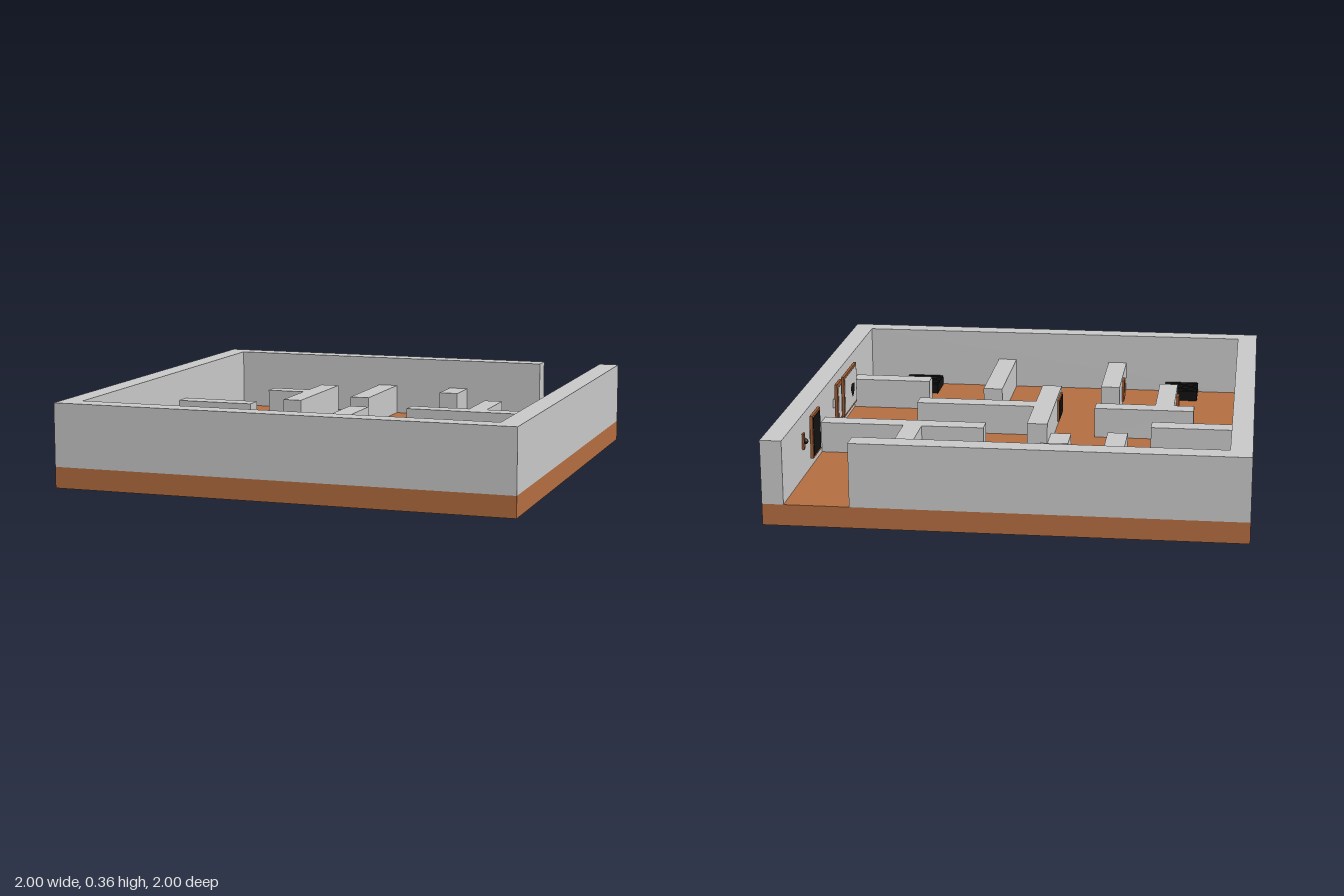
import * as THREE from 'three';

const FLOOR = 0.091, OUTER_TOP = 0.364, INNER_TOP = 0.227;

function material(name, color) {
  const m = new THREE.MeshStandardMaterial({ color });
  m.name = name;
  return m;
}

export function createModel() {
  const model = new THREE.Group();
  model.name = 'mazeHouse';
  const clay = material('clay brown', 0xb46e40);
  const plaster = material('plaster grey', 0xc9c9c9);
  const frameWood = material('frame brown', 0x9a5a32);
  const black = material('black', 0x111111);

  // Box given by its limits on each axis
  function box(name, mat, x0, x1, y0, y1, z0, z1, parent = model) {
    const mesh = new THREE.Mesh(new THREE.BoxGeometry(x1 - x0, y1 - y0, z1 - z0), mat);
    mesh.position.set((x0 + x1) / 2, (y0 + y1) / 2, (z0 + z1) / 2);
    mesh.name = name;
    parent.add(mesh);
    return mesh;
  }

  box('floorSlab', clay, -1, 1, 0, FLOOR, -1, 1);

  // Outer wall as one outline, open at the back doorway
  const w = 0.909, door = 0.635;
  const outline = new THREE.Shape([
    [door, -1], [-1, -1], [-1, 1], [1, 1], [1, -1], [w, -1],
    [w, w], [-w, w], [-w, -w], [door, -w],
  ].map(([x, z]) => new THREE.Vector2(x, -z)));
  const outerGeo = new THREE.ExtrudeGeometry(outline, { depth: OUTER_TOP - FLOOR, bevelEnabled: false });
  outerGeo.rotateX(-Math.PI / 2).translate(0, FLOOR, 0);
  const outer = new THREE.Mesh(outerGeo, plaster);
  outer.name = 'outerWall';
  model.add(outer);

  // Low inner partitions: x0, x1, z0, z1
  const partitions = [
    [-0.182, -0.091, -0.909, -0.46], [0.182, 0.27, -0.909, -0.733],
    [-0.455, -0.367, -0.818, -0.278], [-0.635, -0.455, -0.635, -0.552],
    [-0.909, -0.55, -0.182, -0.095], [-0.091, 0, -0.182, 0.45],
    [0, 0.54, 0.091, 0.177], [-0.727, -0.278, 0.091, 0.177],
    [-0.635, -0.55, 0.177, 0.54], [-0.365, -0.277, 0.455, 0.909],
    [0.182, 0.27, 0.364, 0.909], [0.545, 0.909, 0.455, 0.54],
    [0.182, 0.909, -0.273, -0.188], [0.457, 0.54, -0.547, -0.273],
  ];
  for (const [x0, x1, z0, z1] of partitions) {
    box('partition', plaster, x0, x1, FLOOR, INNER_TOP, z0, z1);
  }
  box('bench', plaster, -0.182, -0.091, FLOOR, 0.136, -0.17, -0.018);

  // Framed panels, all facing -x: front x, z range, y range, panel material
  function picture(x, z0, z1, y0, y1, panelMat, border) {
    const g = new THREE.Group();
    g.name = 'framedPicture';
    box('frame', frameWood, x, x + 0.013, y0, y1, z0, z1, g);
    box('panel', panelMat, x - 0.002, x + 0.002, y0 + border, y1 - border, z0 + border, z1 - border, g);
    model.add(g);
  }
  picture(0.88, -0.56, -0.41, 0.15, 0.34, black, 0.01);
  picture(0.88, -0.055, 0.045, 0.155, 0.34, plaster, 0.018);
  picture(0.88, 0.09, 0.37, 0.145, 0.335, plaster, 0.01);
  picture(-0.195, -0.865, -0.715, 0.11, 0.212, black, 0.008);
  picture(-0.1, 0.25, 0.4, 0.11, 0.212, black, 0.008);
  picture(-0.465, -0.51, -0.45, 0.13, 0.212, clay, 0.01);
  picture(-0.648, 0.375, 0.43, 0.13, 0.212, clay, 0.01);
  picture(-0.375, 0.625, 0.69, 0.11, 0.212, clay, 0.012);

  // Hidden mounts that hold the tall pictures off the wall
  for (const z of [-0.485, -0.005, 0.23]) {
    box('pictureMount', plaster, 0.89, 0.91, 0.22, 0.26, z - 0.015, z + 0.015);
  }

  // Painted mark on the large picture
  for (const [z, y, r] of [[0.25, 0.24, 0.024], [0.285, 0.235, 0.024], [0.267, 0.218, 0.022]]) {
    const dot = new THREE.Mesh(new THREE.CircleGeometry(r, 16), black);
    dot.rotation.y = -Math.PI / 2;
    dot.position.set(0.8765, y, z);
    dot.name = 'pictureMark';
    model.add(dot);
  }

  // Small wall lamp beside the doorway
  box('lampPlate', frameWood, 0.9, 0.911, 0.215, 0.285, -0.642, -0.618);
  const lamp = new THREE.Mesh(new THREE.SphereGeometry(0.012, 12, 8), black);
  lamp.position.set(0.896, 0.25, -0.63);
  lamp.name = 'lampBulb';
  model.add(lamp);

  // Two low slatted black platforms by the front wall
  for (const [x0, x1, z0, z1] of [[-0.72, -0.56, 0.74, 0.909], [0.55, 0.72, 0.73, 0.9]]) {
    const g = new THREE.Group();
    g.name = 'platform';
    box('platformBase', black, x0, x1, FLOOR, 0.128, z0, z1, g);
    const slats = 7, step = (z1 - z0) / slats;
    for (let i = 0; i < slats; i++) {
      box('platformSlat', black, x0, x1, 0.126, 0.138, z0 + i * step, z0 + (i + 0.75) * step, g);
    }
    model.add(g);
  }
  return model;
}
